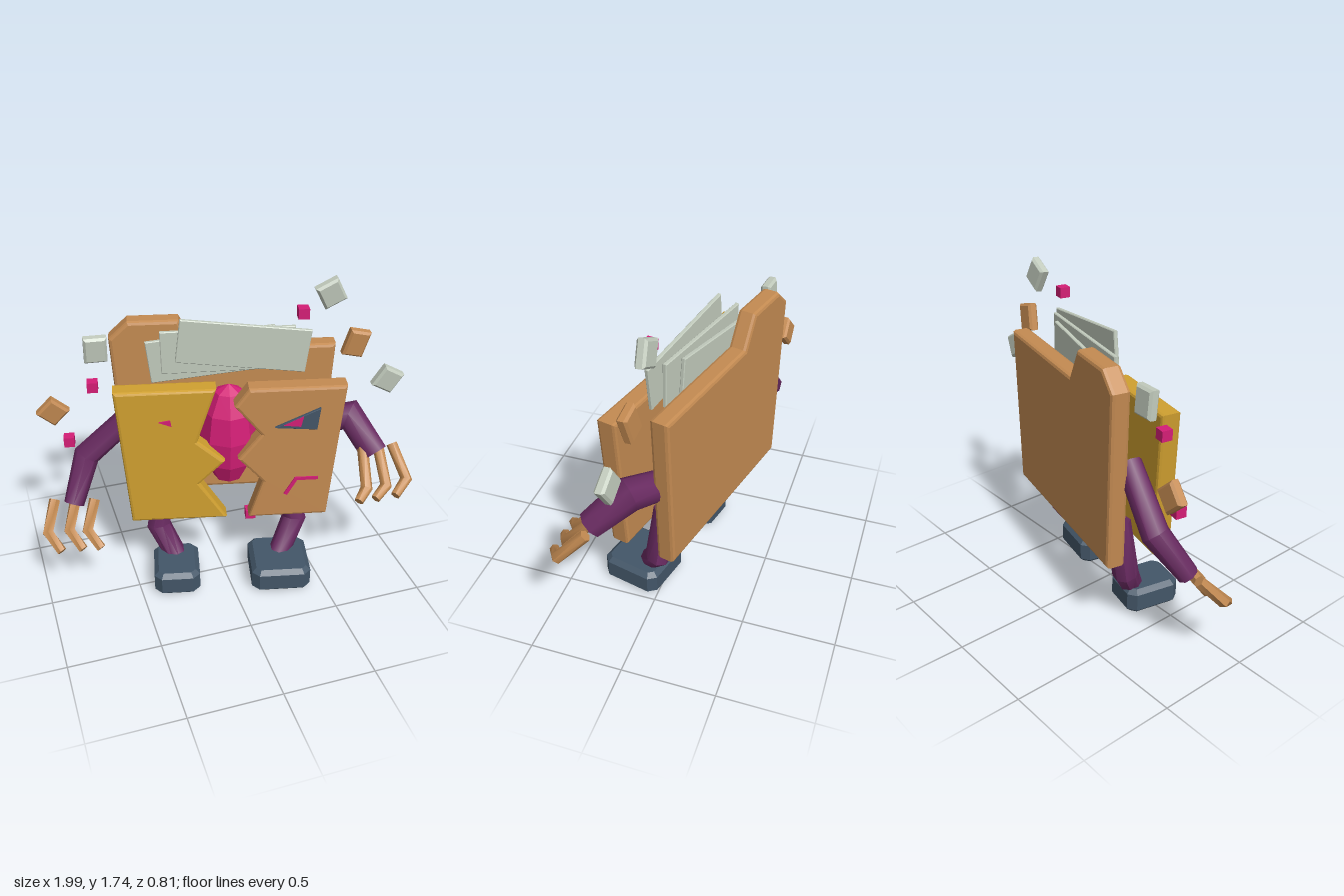
import * as THREE from 'three';
import { toCreasedNormals } from 'three/addons/utils/BufferGeometryUtils.js';

const material = (name, color) => {
  const m = new THREE.MeshStandardMaterial({ color });
  m.name = name;
  return m;
};

export function createModel() {
  const orange = material('cardboard orange', 0xc48b52);
  const yellow = material('folder yellow', 0xd0a030);
  const purple = material('limb purple', 0x6a2b62);
  const pink = material('core pink', 0xd41e76);
  const slate = material('slate blue', 0x435668);
  const paper = material('paper grey', 0xc2cbbd);

  const root = new THREE.Group();
  root.name = 'folderCreature';
  // The body is turned a little towards one side
  const body = new THREE.Group();
  body.name = 'body';
  body.rotation.y = -0.227;
  root.add(body);

  const add = (parent, name, geometry, mat, pos = [0, 0, 0], rot = [0, 0, 0]) => {
    const mesh = new THREE.Mesh(geometry, mat);
    mesh.name = name;
    mesh.position.set(...pos);
    mesh.rotation.set(...rot);
    parent.add(mesh);
    return mesh;
  };

  // Slab of a given outline, from z = 0 to z = depth, with bevelled edges
  const slab = (points, depth, bevel = 0, segments = 1) => new THREE.ExtrudeGeometry(
    new THREE.Shape(points.map(([x, y]) => new THREE.Vector2(x, y))),
    {
      depth: depth - 2 * bevel, bevelEnabled: bevel > 0, bevelThickness: bevel,
      bevelSize: bevel, bevelOffset: -bevel, bevelSegments: segments,
    },
  ).translate(0, 0, bevel);

  const rect = (w, h) => [[-w / 2, -h / 2], [w / 2, -h / 2], [w / 2, h / 2], [-w / 2, h / 2]];

  // Jointed limb: one ring of vertices per joint, closed at both ends
  const limb = (joints, radii, sides) => {
    const p = joints.map((j) => new THREE.Vector3(...j));
    const positions = [];
    const index = [];
    const ref = new THREE.Vector3(0, 0, 1);
    p.forEach((c, i) => {
      const t = new THREE.Vector3();
      if (i > 0) t.add(c.clone().sub(p[i - 1]).normalize());
      if (i < p.length - 1) t.add(p[i + 1].clone().sub(c).normalize());
      t.normalize();
      const n = ref.clone().cross(t).normalize();
      const b = t.clone().cross(n);
      for (let j = 0; j < sides; j++) {
        const a = ((j + 0.5) / sides) * Math.PI * 2;
        const v = c.clone().addScaledVector(n, radii[i] * Math.cos(a)).addScaledVector(b, radii[i] * Math.sin(a));
        positions.push(v.x, v.y, v.z);
      }
    });
    const last = (p.length - 1) * sides;
    for (let j = 0; j < sides; j++) {
      const k = (j + 1) % sides;
      for (let r = 0; r < last; r += sides) {
        index.push(r + j, r + k, r + sides + k, r + j, r + sides + k, r + sides + j);
      }
      if (j > 0 && j < sides - 1) index.push(0, k, j, last, last + j, last + k);
    }
    const g = new THREE.BufferGeometry();
    g.setAttribute('position', new THREE.Float32BufferAttribute(positions, 3));
    g.setIndex(index);
    return toCreasedNormals(g, 0.85);
  };

  // Folder: back panel with tab, and a front cover torn in two
  add(body, 'backPanel', slab([
    [-0.53, 0.45], [0.572, 0.45], [0.615, 1.337], [-0.125, 1.337],
    [-0.215, 1.503], [-0.48, 1.503], [-0.58, 1.41],
  ], 0.1, 0.018, 2), orange, [0, 0, -0.293]);
  add(body, 'frontPanelRight', slab([
    [-0.505, 0.435], [0.015, 0.435], [-0.13, 0.668], [0.005, 0.805],
    [-0.14, 0.936], [-0.04, 1.245], [-0.565, 1.245],
  ], 0.105, 0.016, 2), yellow, [0, 0, -0.02]);
  add(body, 'frontPanelLeft', slab([
    [0.135, 0.435], [0.565, 0.435], [0.632, 1.243], [0.125, 1.243],
    [0.052, 1.14], [0.19, 0.968], [0.073, 0.818], [0.206, 0.668],
  ], 0.105, 0.016, 2), orange, [0, 0, -0.012]);

  // Loose sheets sticking out of the top
  for (const [u, y, w, width, tilt] of [
    [0.11, 1.403, -0.083, 0.68, -0.122],
    [0.035, 1.36, -0.132, 0.7, 0.015],
    [-0.043, 1.318, -0.172, 0.68, 0.11],
  ]) {
    add(body, 'paperSheet', slab(rect(width, 0.24), 0.022, 0.004), paper, [u, y, w - 0.011], [0, 0, tilt]);
  }

  // Faceted core between the torn halves
  const core = new THREE.SphereGeometry(1, 8, 6).scale(0.155, 0.31, 0.14);
  add(body, 'core', toCreasedNormals(core, 0.1), pink, [0.035, 0.88, -0.075]);

  // Face details
  add(body, 'leftEye', slab([[0.262, 1.02], [0.482, 1.0], [0.496, 1.128]], 0.02, 0.003), slate, [0, 0, 0.091]);
  add(body, 'leftPupil', slab([[0.305, 1.036], [0.395, 1.025], [0.408, 1.086]], 0.006), pink, [0, 0, 0.109]);
  add(body, 'rightEye', slab([[-0.34, 1.07], [-0.274, 1.043], [-0.28, 1.08]], 0.008), pink, [0, 0, 0.084]);
  add(body, 'mouth', slab([
    [0.322, 0.59], [0.34, 0.58], [0.392, 0.676], [0.504, 0.676], [0.504, 0.694], [0.38, 0.694],
  ], 0.009), pink, [0, 0, 0.091]);

  // Legs and chamfered feet
  add(body, 'leftLeg', limb([[0.345, 0.56, -0.11], [0.42, 0.28, -0.1], [0.31, 0.09, 0.03]], [0.07, 0.07, 0.06], 8), purple);
  add(body, 'rightLeg', limb([[-0.31, 0.56, -0.12], [-0.365, 0.27, -0.1], [-0.26, 0.09, 0.0]], [0.07, 0.07, 0.06], 8), purple);
  const foot = (name, u, width, depth) => {
    const x = width / 2;
    const z = depth / 2;
    const c = 0.04;
    add(body, name, slab([
      [-x + c, -z], [x - c, -z], [x, -z + c], [x, z - c], [x - c, z], [-x + c, z], [-x, z - c], [-x, -z + c],
    ], 0.145, 0.025), slate, [u, 0, 0.068], [-Math.PI / 2, 0, 0]);
  };
  foot('leftFoot', 0.313, 0.33, 0.335);
  foot('rightFoot', -0.272, 0.255, 0.305);

  // Arms
  add(root, 'leftArm', limb([[0.45, 0.84, -0.1], [0.715, 0.935, 0.035], [0.8, 0.77, 0.2]], [0.075, 0.088, 0.075], 8), purple);
  add(root, 'rightArm', limb([[-0.43, 0.99, -0.25], [-0.69, 0.735, -0.31], [-0.8, 0.51, -0.19]], [0.065, 0.072, 0.055], 8), purple);

  // Three bent fingers on each hand
  const leftFingers = [
    [[0.735, 0.81, 0.18], [0.71, 0.64, 0.32], [0.645, 0.6, 0.37]],
    [[0.825, 0.81, 0.18], [0.82, 0.64, 0.33], [0.74, 0.6, 0.375]],
    [[0.91, 0.8, 0.18], [0.945, 0.65, 0.32], [0.855, 0.6, 0.38]],
  ];
  const rightFingers = [
    [[-0.9, 0.54, -0.22], [-0.965, 0.41, -0.11], [-0.91, 0.335, -0.02]],
    [[-0.79, 0.54, -0.19], [-0.85, 0.405, -0.1], [-0.795, 0.33, -0.01]],
    [[-0.69, 0.54, -0.16], [-0.755, 0.405, -0.07], [-0.7, 0.33, 0.01]],
  ];
  for (const joints of leftFingers) add(root, 'leftFinger', limb(joints, [0.03, 0.033, 0.026], 6), orange);
  for (const joints of rightFingers) add(root, 'rightFinger', limb(joints, [0.03, 0.033, 0.026], 6), orange);

  // Torn scraps drifting around the body
  for (const [mat, x, y, z, w, h, tilt] of [
    [paper, -0.596, 1.38, -0.295, 0.12, 0.145, 0],
    [paper, 0.58, 1.65, -0.025, 0.125, 0.135, 0.48],
    [paper, 0.91, 1.14, 0.05, 0.13, 0.13, -0.52],
    [orange, 0.725, 1.365, 0.01, 0.115, 0.15, -0.25],
    [orange, -0.84, 1.02, -0.355, 0.125, 0.125, -0.75],
  ]) {
    add(root, 'scrap', slab(rect(w, h), 0.055, 0.012).translate(0, 0, -0.0275), mat, [x, y, z], [0.1, -0.1, tilt]);
  }

  // Small glowing cubes
  for (const pos of [[0.415, 1.585, 0.02], [-0.637, 1.212, -0.22], [-0.78, 0.885, -0.255], [0.16, 0.373, 0]]) {
    add(root, 'cube', new THREE.BoxGeometry(0.056, 0.056, 0.056), pink, pos, [0, -0.2, 0]);
  }

  return root;
}
